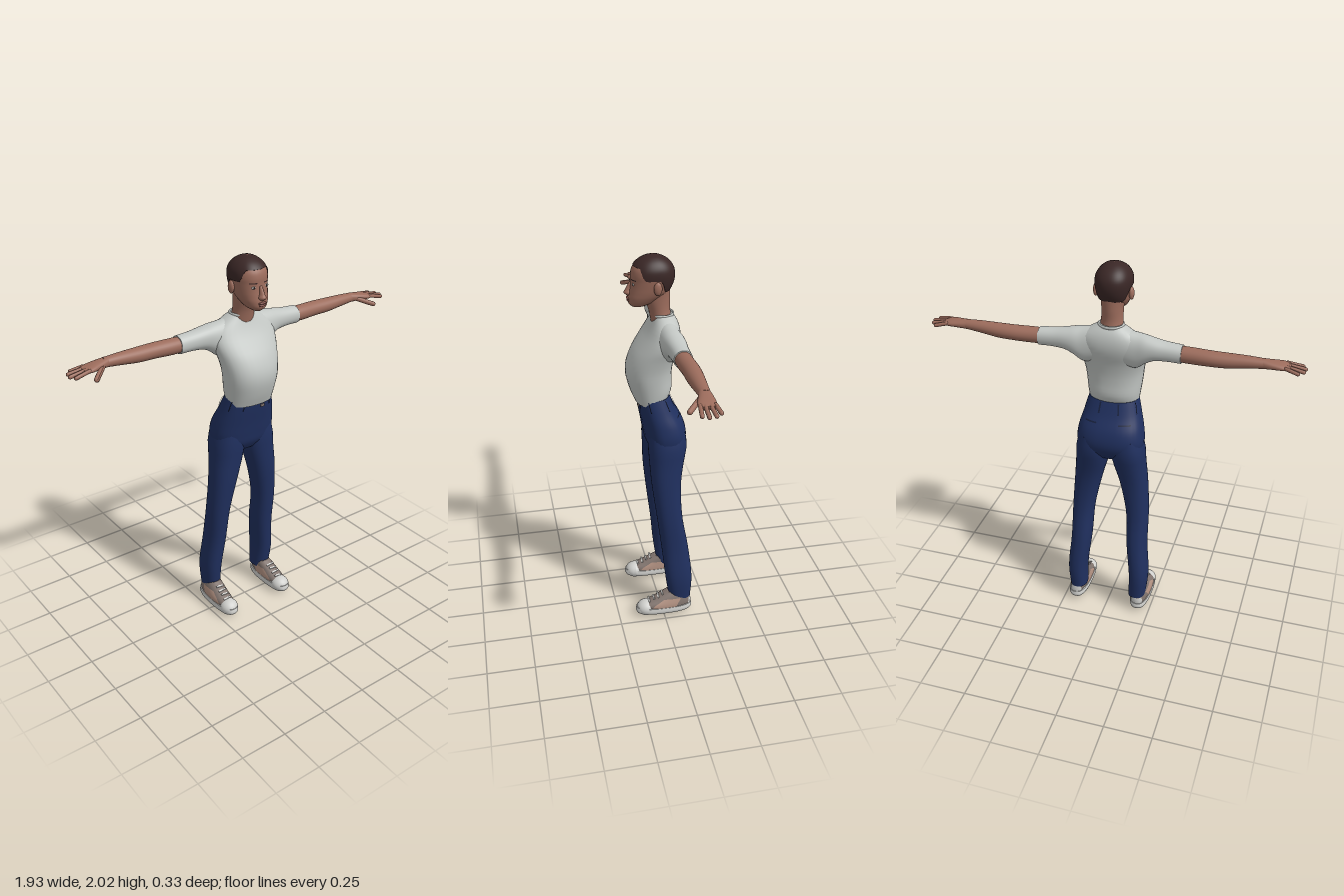
import * as THREE from 'three';

const mat = (name, color) => Object.assign(new THREE.MeshStandardMaterial({ color }), { name });
const M = {
  skin: mat('skin', 0x9c6c5c), lips: mat('lips', 0x84524a), hair: mat('hair', 0x3a2726),
  shirt: mat('shirt', 0xc3c7c4), denim: mat('denim', 0x20305f), seam: mat('dark denim', 0x17213f),
  white: mat('white rubber', 0xd0d0cd), upper: mat('shoe upper', 0x82756f), panel: mat('shoe panel', 0xb59484),
  dark: mat('iris', 0x241c1a),
};
const TAU = Math.PI * 2;

// Surface through cross-sections [t, halfWidth, front, back, centre], running along y or x.
function surface(rows, p = 2.3, axis = 'y') {
  const spline = new THREE.CubicInterpolant(rows.map(r => r[0]),
    rows.flatMap(r => [r[1], r[2], r[3], r[4] ?? 0]), 4, new Float32Array(4));
  const bend = c => Math.sign(c) * Math.abs(c) ** (2 / p);
  const fn = (t, a, off = 0) => {
    const [h, f, b, c] = spline.evaluate(t);
    const u = c + (h + off) * bend(Math.cos(a));
    const v = (f + b) / 2 + ((f - b) / 2 + off) * bend(Math.sin(a));
    return axis === 'y' ? [u, t, v] : [t, v, u];
  };
  fn.range = [rows[0][0], rows[rows.length - 1][0]];
  return fn;
}

// Quad grid over fn(s, a); a full turn is closed and capped.
function grid(fn, [s0, s1], [a0, a1] = [0, TAU], ns = 24, na = 32, caps = true) {
  const pos = [], idx = [], closed = a1 - a0 > TAU - 0.001, cols = closed ? na : na + 1;
  const ring = s => { for (let j = 0; j < cols; j++) pos.push(...fn(s, a0 + (a1 - a0) * j / na)); };
  for (let i = 0; i <= ns; i++) ring(s0 + (s1 - s0) * i / ns);
  for (let i = 0; i < ns; i++) for (let j = 0; j < na; j++) {
    const k = (j + 1) % cols, p = i * cols + j, q = i * cols + k;
    idx.push(p, p + cols, q, q, p + cols, q + cols);
  }
  if (closed && caps) [s0, s1].forEach((s, end) => {
    const base = pos.length / 3;
    ring(s);
    const A = fn(s, 0), B = fn(s, Math.PI);
    pos.push(...A.map((v, i) => (v + B[i]) / 2));
    for (let j = 0; j < na; j++) {
      const p = base + j, q = base + (j + 1) % na, c = base + na;
      end ? idx.push(c, q, p) : idx.push(c, p, q);
    }
  });
  const g = new THREE.BufferGeometry();
  g.setAttribute('position', new THREE.Float32BufferAttribute(pos, 3));
  g.setIndex(idx);
  g.computeVertexNormals();
  return g;
}
const loft = (rows, p, axis) => { const f = surface(rows, p, axis); return grid(f, f.range); };
const patch = (fn, s, a, off = 0.004) => grid((t, b) => fn(t, b, off), s, a, 6, 8);

function mirrored(geo) {
  const g = geo.clone().scale(-1, 1, 1), ix = g.index.array;
  for (let i = 0; i < ix.length; i += 3) [ix[i], ix[i + 1]] = [ix[i + 1], ix[i]];
  g.computeVertexNormals();
  return g;
}
const ball = (rx, ry, rz, x, y, z) => new THREE.SphereGeometry(1, 20, 14).scale(rx, ry, rz).translate(x, y, z);
const box = (w, h, d, x, y, z, rx = 0, rz = 0) =>
  new THREE.BoxGeometry(w, h, d).rotateX(rx).rotateZ(rz).translate(x, y, z);
function finger(from, to, r) {
  const a = new THREE.Vector3(...from), b = new THREE.Vector3(...to), d = b.clone().sub(a);
  const q = new THREE.Quaternion().setFromUnitVectors(new THREE.Vector3(0, 1, 0), d.clone().normalize());
  const g = new THREE.CapsuleGeometry(r, d.length() - r, 5, 10).applyQuaternion(q);
  return g.translate(...a.add(b).multiplyScalar(0.5).toArray());
}

export function createModel() {
  const model = new THREE.Group();
  model.name = 'standingPerson';
  const add = (name, geo, m) => {
    const mesh = new THREE.Mesh(geo, m);
    mesh.name = name;
    model.add(mesh);
  };
  const pair = (name, geo, m) => {
    add('left' + name, geo, m);
    add('right' + name, mirrored(geo), m);
  };

  // Head and neck
  const head = surface([
    [1.745, 0.022, 0.125, 0.06], [1.76, 0.045, 0.141, 0.03], [1.79, 0.065, 0.146, -0.015],
    [1.82, 0.076, 0.141, -0.055], [1.85, 0.082, 0.135, -0.073], [1.88, 0.086, 0.131, -0.082],
    [1.91, 0.088, 0.13, -0.084], [1.94, 0.083, 0.121, -0.077], [1.97, 0.064, 0.096, -0.054],
    [1.985, 0.046, 0.073, -0.032], [1.995, 0.026, 0.049, -0.009], [2.0, 0.005, 0.026, 0.014]], 2.2);
  add('head', grid(head, head.range, [0, TAU], 40), M.skin);
  add('neck', loft([[1.66, 0.064, 0.03, -0.08], [1.72, 0.055, 0.042, -0.066],
    [1.78, 0.055, 0.06, -0.066], [1.84, 0.06, 0.06, -0.066]], 2), M.skin);

  // Cropped hair, with a hairline that is high in front and low behind
  const hairline = a => {
    const s = Math.sin(a);
    return 1.89 + 0.06 * THREE.MathUtils.smoothstep(s, 0.35, 0.75)
      - 0.065 * THREE.MathUtils.smoothstep(-s, 0.15, 0.7);
  };
  add('hair', grid((t, a) => {
    const low = hairline(a);
    return head(low + (2 - low) * (1 - (1 - t) ** 2), a, 0.004);
  }, [0, 1], [0, TAU], 20, 48), M.hair);

  // Face
  add('nose', loft([[1.803, 0.012, 0.15, 0.115], [1.815, 0.02, 0.165, 0.115],
    [1.832, 0.014, 0.158, 0.115], [1.872, 0.008, 0.136, 0.115]], 2), M.skin);
  add('upperLip', ball(0.024, 0.006, 0.008, 0, 1.789, 0.145), M.lips);
  add('lowerLip', ball(0.021, 0.007, 0.008, 0, 1.778, 0.143), M.lips);
  const [ex, ey, ez] = head(1.867, 1.15);
  pair('Eye', ball(0.014, 0.006, 0.004, ex, ey, ez), M.white);
  pair('Iris', ball(0.006, 0.006, 0.003, ex, ey, ez + 0.0025), M.dark);
  pair('Brow', patch(head, [1.884, 1.89], [0.92, 1.38], 0.002), M.hair);
  pair('Ear', ball(0.013, 0.033, 0.021, 0.09, 1.853, 0.012), M.skin);

  // Shirt
  add('shirtBody', loft([
    [1.24, 0.126, 0.118, -0.04], [1.3, 0.135, 0.142, -0.068], [1.38, 0.145, 0.161, -0.07],
    [1.43, 0.151, 0.158, -0.073], [1.5, 0.165, 0.13, -0.086], [1.56, 0.18, 0.09, -0.104],
    [1.6, 0.18, 0.062, -0.11], [1.645, 0.155, 0.037, -0.106], [1.68, 0.1, 0.022, -0.092],
    [1.702, 0.062, 0.014, -0.074]], 2.3), M.shirt);
  pair('Sleeve', loft([
    [0.07, 0.058, 1.684, 1.5, -0.04], [0.14, 0.062, 1.673, 1.49, -0.04], [0.18, 0.06, 1.668, 1.52, -0.045],
    [0.22, 0.055, 1.66, 1.543, -0.049], [0.28, 0.049, 1.65, 1.552, -0.051],
    [0.365, 0.046, 1.643, 1.552, -0.053]], 2.2, 'x'), M.shirt);
  add('collar', new THREE.TorusGeometry(1, 0.1, 10, 36).rotateX(Math.PI / 2)
    .scale(0.062, 0.08, 0.054).translate(0, 1.698, -0.027), M.shirt);

  // Arms and hands
  pair('Arm', loft([
    [0.3, 0.04, 1.637, 1.56, -0.051], [0.4, 0.043, 1.638, 1.557, -0.054], [0.5, 0.043, 1.637, 1.56, -0.06],
    [0.58, 0.041, 1.636, 1.562, -0.059], [0.68, 0.034, 1.635, 1.574, -0.056],
    [0.77, 0.027, 1.631, 1.584, -0.055]], 2, 'x'), M.skin);
  pair('Palm', loft([
    [0.75, 0.027, 1.631, 1.583, -0.055], [0.8, 0.036, 1.626, 1.586, -0.05],
    [0.85, 0.043, 1.619, 1.588, -0.043], [0.885, 0.038, 1.61, 1.592, -0.042]], 2.3, 'x'), M.skin);
  [['Little', -0.075, -0.088, 0.928], ['Ring', -0.054, -0.061, 0.952],
    ['Middle', -0.031, -0.028, 0.958], ['Index', -0.01, 0.0, 0.942]].forEach(([n, z0, z1, x]) =>
    pair(n + 'Finger', finger([0.86, 1.606, z0], [x, 1.591, z1], 0.01), M.skin));
  pair('Thumb', finger([0.78, 1.603, -0.035], [0.857, 1.572, 0.036], 0.013), M.skin);

  // Trousers
  const hips = surface([
    [0.955, 0.11, 0.035, -0.1], [1.0, 0.165, 0.062, -0.132], [1.05, 0.178, 0.073, -0.145],
    [1.12, 0.171, 0.085, -0.132], [1.2, 0.15, 0.1, -0.088], [1.275, 0.13, 0.112, -0.055]], 2.5);
  add('trouserHips', grid(hips, hips.range), M.denim);
  pair('TrouserLeg', loft([
    [0.075, 0.047, -0.035, -0.155, 0.172], [0.2, 0.052, -0.016, -0.16, 0.178],
    [0.4, 0.055, 0.005, -0.14, 0.16], [0.6, 0.06, 0.03, -0.107, 0.152], [0.8, 0.075, 0.053, -0.104, 0.125],
    [0.93, 0.087, 0.06, -0.125, 0.101], [1.0, 0.09, 0.064, -0.138, 0.094],
    [1.08, 0.075, 0.06, -0.13, 0.09]], 2.3), M.denim);
  [0.35, 1.05, 4.95, 5.8].forEach(a => pair('BeltLoop', patch(hips, [1.215, 1.27], [a, a + 0.06], 0.006), M.seam));
  pair('BackPocketEdge', patch(hips, [1.165, 1.172], [5.0, 5.5], 0.002), M.seam);
  add('button', box(0.022, 0.014, 0.006, 0.035, 1.222, 0.106), M.upper);

  // Shoes
  const shoe = surface([
    [0.02, 0.05, 0.14, -0.15, 0.182], [0.05, 0.05, 0.12, -0.152, 0.182], [0.075, 0.046, 0.065, -0.15, 0.18],
    [0.1, 0.041, 0.015, -0.146, 0.177], [0.118, 0.035, -0.02, -0.14, 0.175]], 2.4);
  pair('ShoeUpper', grid(shoe, shoe.range), M.upper);
  pair('ShoeSole', loft([
    [0, 0.052, 0.148, -0.153, 0.182], [0.012, 0.056, 0.155, -0.16, 0.182],
    [0.036, 0.054, 0.151, -0.158, 0.182]], 2.6), M.white);
  pair('ToeCap', ball(0.051, 0.045, 0.055, 0.182, 0.023, 0.096), M.white);
  pair('HeelCounter', patch(shoe, [0.03, 0.075], [TAU * 0.66, TAU * 0.84]), M.white);
  pair('OuterShoePanel', patch(shoe, [0.036, 0.085], [-0.35, 0.5], 0.002), M.panel);
  pair('InnerShoePanel', patch(shoe, [0.036, 0.085], [Math.PI - 0.5, Math.PI + 0.35], 0.002), M.panel);
  for (let i = 0; i < 4; i++) {
    const y = 0.068 + i * 0.012, z = shoe(y, Math.PI / 2)[2];
    pair('Lace', box(0.046, 0.006, 0.009, 0.18, y + 0.003, z, 0.5, i % 2 ? 0.12 : -0.12), M.white);
  }
  return model;
}
